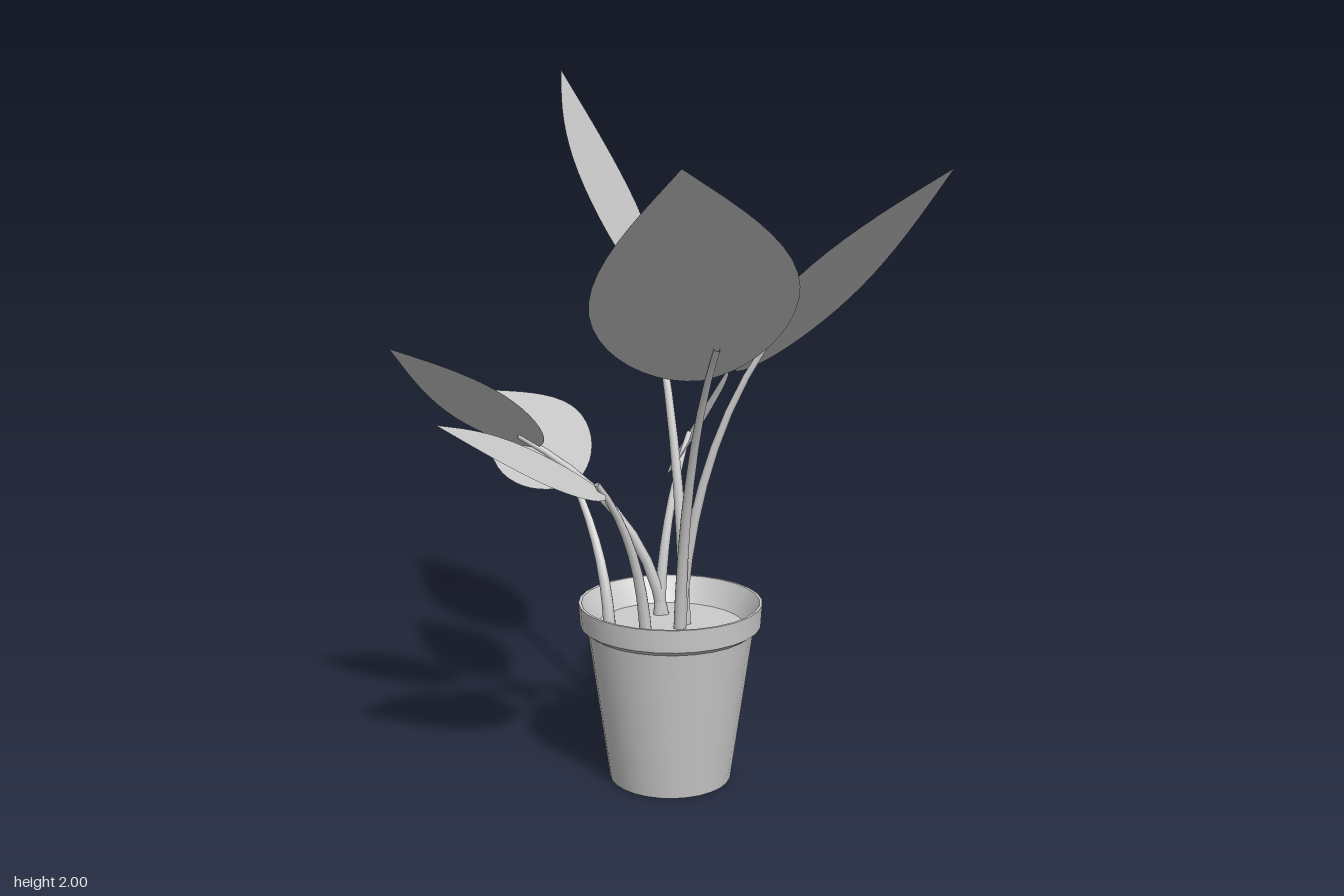
import * as THREE from 'three';
import { toCreasedNormals } from 'three/addons/utils/BufferGeometryUtils.js';

const V = (a) => new THREE.Vector3(...a);

// root and end: stem path; base, tip and width: leaf placement
const PLANTS = [
  { root: [0.05, 0.44, -0.02], end: [0.27, 1.27, -0.11], base: [0.19, 1.19, -0.09], tip: [0.74, 1.75, -0.26], width: [0.06, 0.14, 0.7] },
  { root: [0.05, 0.44, -0.02], end: [0.24, 1.3, 0.2], base: [0.17, 1.2, 0.13], tip: [0.32, 1.79, 0.65], width: [0.5, 0.08, -0.17] },
  { root: [0.05, 0.44, -0.06], end: [-0.18, 1.46, -0.31], base: [-0.14, 1.38, -0.25], tip: [-0.55, 2.0, -0.535], width: [-0.03, 0.165, 0.4] },
  { root: [-0.05, 0.44, -0.11], end: [-0.045, 0.95, -0.33], base: [-0.05, 0.87, -0.23], tip: [-0.04, 1.09, -0.65], width: [0.185, 0.22, 0.12] },
  { root: [-0.15, 0.44, 0.02], end: [-0.36, 0.85, -0.15], base: [-0.31, 0.83, -0.12], tip: [-0.74, 1.02, -0.375], width: [0.16, 0.17, -0.19] },
  { root: [-0.04, 0.44, -0.12], end: [-0.42, 0.985, 0.045], base: [-0.36, 0.955, 0.03], tip: [-0.705, 1.25, 0.26], width: [0.32, 0.14, 0.29] },
  { root: [-0.02, 0.44, 0.06], end: [-0.1, 0.91, 0.21], base: [-0.09, 0.88, 0.185], tip: [-0.4, 1.115, 0.545], width: [0.22, -0.06, 0.21] },
];

// Unit leaf outline: base at the origin, tip at (0, 1), one unit wide
function leafShape() {
  const s = new THREE.Shape();
  s.moveTo(0, 0);
  s.bezierCurveTo(0.25, 0.01, 0.5, 0.2, 0.5, 0.41);
  s.bezierCurveTo(0.5, 0.63, 0.18, 0.85, 0, 1);
  s.bezierCurveTo(-0.18, 0.85, -0.5, 0.63, -0.5, 0.41);
  s.bezierCurveTo(-0.5, 0.2, -0.25, 0.01, 0, 0);
  return s;
}

// Flat leaf blade stretched between its base, tip and width vector
function leafGeometry({ base, tip, width }) {
  const origin = V(base);
  const along = V(tip).sub(origin);
  const across = V(width);
  const normal = across.clone().cross(along).normalize();
  if (normal.y < 0) {
    across.negate();
    normal.negate();
  }
  const m = new THREE.Matrix4().makeBasis(across, along, normal).setPosition(origin);
  const g = new THREE.ShapeGeometry(leafShape(), 10).applyMatrix4(m);
  g.computeVertexNormals();
  return g;
}

// Stem rises steeply, then bends outward, thinning to its end
function stemGeometry({ root, end }) {
  const a = V(root);
  const b = V(end);
  const bend = a.clone().lerp(b, 0.12);
  bend.y = THREE.MathUtils.lerp(a.y, b.y, 0.62);
  const curve = new THREE.QuadraticBezierCurve3(a, bend, b);
  const rings = 8;
  const sides = 8;
  const g = new THREE.TubeGeometry(curve, rings, 0.019, sides, false);
  const pos = g.attributes.position;
  const p = new THREE.Vector3();
  for (let i = 0; i < pos.count; i++) {
    const t = Math.floor(i / (sides + 1)) / rings;
    p.fromBufferAttribute(pos, i).lerp(curve.getPointAt(t), 0.55 * t);
    pos.setXYZ(i, p.x, p.y, p.z);
  }
  return g;
}

export function createModel() {
  const group = new THREE.Group();
  const grey = new THREE.MeshStandardMaterial({ color: 0xcccccc });
  const thin = new THREE.MeshStandardMaterial({ color: 0xcccccc, side: THREE.DoubleSide });
  const add = (name, geometry, material, parent = group) => {
    const mesh = new THREE.Mesh(geometry, material);
    mesh.name = name;
    parent.add(mesh);
    return mesh;
  };

  // Pot with tapered wall, stepped rim and sloping inner lip
  const profile = [
    [0, 0], [0.175, 0], [0.237, 0.445], [0.258, 0.46],
    [0.262, 0.525], [0.254, 0.525], [0.212, 0.45],
  ].map(([r, y]) => new THREE.Vector2(r, y));
  const pot = add('pot', toCreasedNormals(new THREE.LatheGeometry(profile, 28), 0.4), grey);
  pot.position.set(0.02, 0, -0.025);

  // Soil surface
  const soil = add('soil', new THREE.CircleGeometry(0.214, 28).rotateX(-Math.PI / 2), grey);
  soil.position.set(0.02, 0.452, -0.025);

  // Stems with their leaves
  PLANTS.forEach((plant, i) => {
    const shoot = new THREE.Group();
    shoot.name = `shoot${i + 1}`;
    add('stem', stemGeometry(plant), thin, shoot);
    add('leaf', leafGeometry(plant), thin, shoot);
    group.add(shoot);
  });

  return group;
}
